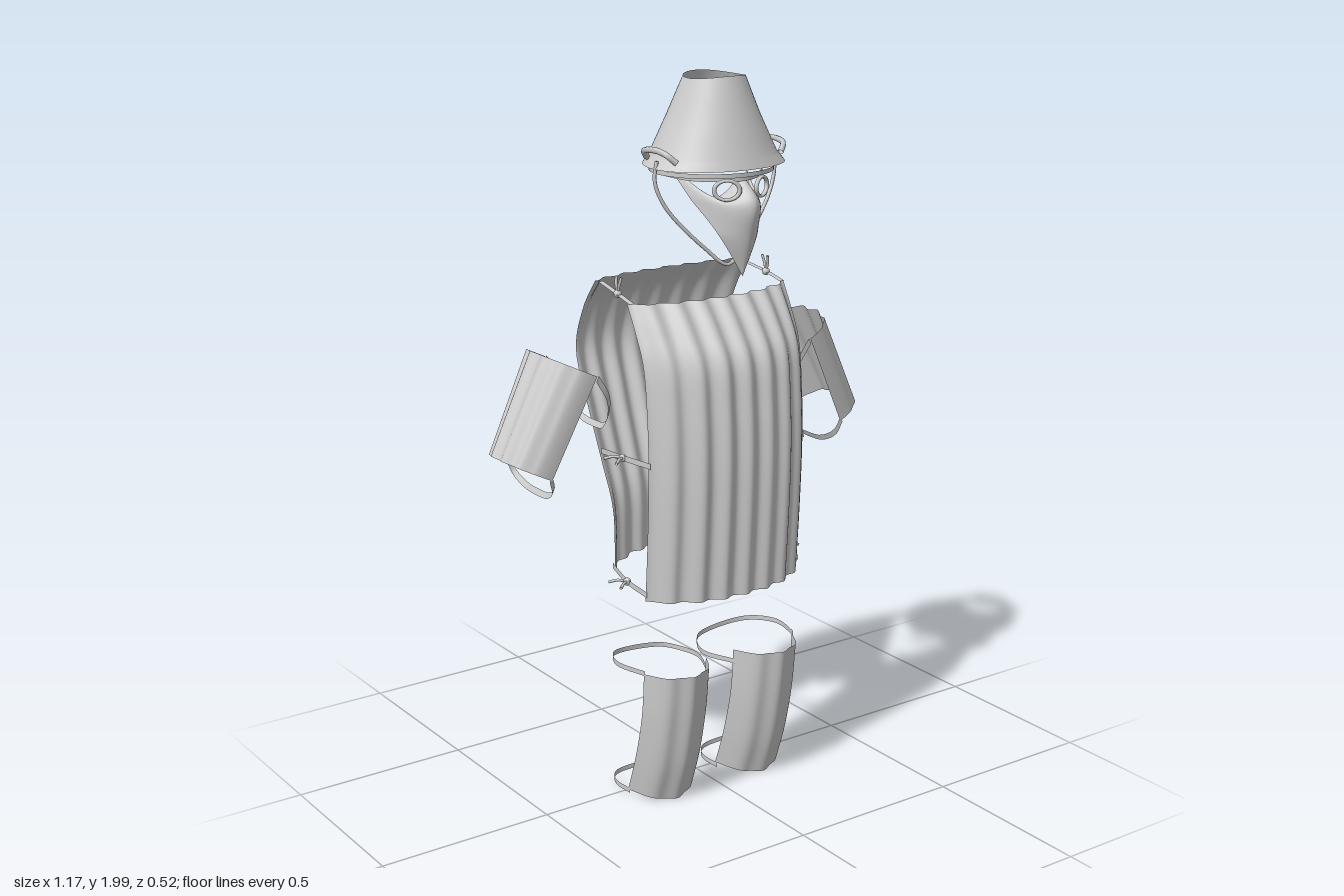
import * as THREE from 'three';
import { mergeVertices } from 'three/addons/utils/BufferGeometryUtils.js';

const V = (x, y, z) => new THREE.Vector3(x, y, z);
const curve = pts => new THREE.CatmullRomCurve3(pts.map(p => V(...p)));
const grey = new THREE.MeshStandardMaterial({ color: 0xcccccc, side: THREE.DoubleSide });

// Smooth sheet: fn(u, v) gives a point, u and v run 0..1
function sheet(name, fn, nu, nv) {
  const pos = [], idx = [];
  for (let j = 0; j <= nv; j++)
    for (let i = 0; i <= nu; i++) pos.push(...fn(i / nu, j / nv).toArray());
  for (let j = 0; j < nv; j++)
    for (let i = 0; i < nu; i++) {
      const a = j * (nu + 1) + i, b = a + nu + 1;
      idx.push(a, a + 1, b, a + 1, b + 1, b);
    }
  let g = new THREE.BufferGeometry();
  g.setAttribute('position', new THREE.Float32BufferAttribute(pos, 3));
  g.setIndex(idx);
  g = mergeVertices(g);
  g.computeVertexNormals();
  const m = new THREE.Mesh(g, grey);
  m.name = name;
  return m;
}

// Flat strap along a curve, width w across dir
function strap(name, pts, w, dir, n = 24) {
  const c = curve(pts);
  return sheet(name, (u, v) => c.getPoint(u).addScaledVector(dir, (v - 0.5) * w), n, 1);
}

function cord(name, pts, r = 0.005, n = 20) {
  const m = new THREE.Mesh(new THREE.TubeGeometry(curve(pts), n, r, 6), grey);
  m.name = name;
  return m;
}

// Corrugated torso plate: profile rows are [y, z at centre, depth lost at the sides]
function torsoPlate(name, profile, w, side) {
  const c = curve(profile);
  return sheet(name, (u, v) => {
    const p = c.getPoint(v), k = u * 2 - 1, x = k * w;
    const wave = 0.008 * Math.cos(x / 0.07 * Math.PI * 2);
    return V(x, p.x, p.y - side * (p.z * Math.abs(k) ** 2.6 - wave));
  }, 96, 28);
}

function addHead(g) {
  // Bucket helmet, egg-shaped: rows are [y, half width, front z, back z]
  const rows = [[2.0, 0.08, 0.165, 0], [1.9, 0.122, 0.195, -0.045],
    [1.8, 0.17, 0.227, -0.09], [1.77, 0.192, 0.238, -0.11]];
  g.add(sheet('helmet', (u, v) => {
    const t = v * 3, i = Math.min(2, Math.floor(t)), f = t - i;
    const [y, r, zf, zb] = rows[i].map((n, k) => n + (rows[i + 1][k] - n) * f);
    const a = u * Math.PI * 2, s = Math.sin(a);
    return V(r * Math.cos(a) * (1 + 0.14 * v * s), y - 0.008 * (1 - v) * Math.cos(a) ** 2,
      (zf + zb) / 2 + (zf - zb) / 2 * s);
  }, 48, 9));
  const ring = [];
  for (let i = 0; i <= 20; i++) {
    const a = i / 20 * Math.PI * 2;
    ring.push([0.165 * Math.cos(a), 1.757, 0.07 + 0.16 * Math.sin(a)]);
  }
  g.add(strap('headBand', ring, 0.012, V(0, 1, 0), 48));
  for (const s of [-1, 1])
    g.add(cord('helmetHandle', [[s * 0.168, 1.79, 0.02], [s * 0.19, 1.812, 0.04],
      [s * 0.19, 1.818, 0.1], [s * 0.185, 1.81, 0.135], [s * 0.165, 1.79, 0.15]], 0.008));
  g.add(cord('chinStrap', [[-0.185, 1.79, 0.09], [-0.192, 1.74, 0.09], [-0.165, 1.67, 0.1],
    [-0.06, 1.555, 0.13], [0, 1.51, 0.145], [0.06, 1.555, 0.13], [0.165, 1.67, 0.1],
    [0.192, 1.74, 0.09], [0.185, 1.79, 0.09]], 0.005, 48));

  // Pointed face mask: [y, centre z, edge z] and half widths, scooped at the eyes
  const mid = curve([[1.75, 0.205, 0.06], [1.69, 0.262, 0.115], [1.6, 0.245, 0.19], [1.49, 0.21, 0.21]]);
  const wide = curve([[0.115, 0, 0], [0.1, 0, 0], [0.062, 0, 0], [0, 0, 0]]);
  g.add(sheet('faceMask', (u, v) => {
    const k = u * 2 - 1, p = mid.getPoint(v);
    const scoop = 0.055 * Math.sin(Math.PI * Math.abs(k)) ** 2 * (1 - v) ** 4;
    return V(k * wide.getPoint(v).x, p.x - scoop, p.y + (p.z - p.y) * Math.abs(k) ** 1.7);
  }, 32, 24));
  for (const s of [-1, 1]) {
    const eye = new THREE.Mesh(new THREE.TorusGeometry(0.033, 0.006, 8, 28), grey);
    eye.name = 'goggleRim';
    eye.scale.y = 0.75;
    eye.position.set(s * 0.055, 1.72, 0.215);
    eye.rotation.y = s * 0.5;
    g.add(eye);
  }
  g.add(strap('goggleStrap', [[-0.165, 1.757, 0.07], [-0.112, 1.745, 0.14], [0, 1.745, 0.215],
    [0.112, 1.745, 0.14], [0.165, 1.757, 0.07]], 0.012, V(0, 1, 0)));
}

function addTorso(g) {
  g.add(torsoPlate('chestPlate', [[0.62, 0.233, 0.1], [0.82, 0.246, 0.1], [1.0, 0.252, 0.1],
    [1.15, 0.246, 0.1], [1.27, 0.23, 0.1], [1.35, 0.18, 0.085], [1.42, 0.122, 0.065]], 0.255, 1));
  g.add(torsoPlate('backPlate', [[0.665, -0.13, -0.105], [0.84, -0.132, -0.1], [0.95, -0.165, -0.085],
    [1.1, -0.215, -0.065], [1.25, -0.252, -0.045], [1.37, -0.212, -0.045], [1.455, -0.14, -0.035]]
    .map(([y, z, d]) => [y, z, -d]), 0.255, -1));
  // Cords that tie the plates together, each with a knot and loose tails
  for (const s of [-1, 1]) {
    const ties = [
      ['shoulderTie', [0.245, 1.42, 0.06], [0.243, 1.435, -0.01], [0.235, 1.45, -0.105]],
      ['waistTie', [0.255, 1.005, 0.155], [0.262, 1.0, 0.035], [0.255, 0.99, -0.08]],
      ['hipTie', [0.255, 0.64, 0.135], [0.262, 0.655, 0.05], [0.255, 0.675, -0.03]]];
    for (const [name, ...pts] of ties) {
      g.add(strap(name, pts.map(([x, y, z]) => [s * x, y, z]), 0.016,
        name === 'shoulderTie' ? V(1, 0, 0) : V(0, 1, 0)));
      const [x, y, z] = pts[1];
      const knot = new THREE.Mesh(new THREE.SphereGeometry(0.011, 10, 8), grey);
      knot.name = name + 'Knot';
      knot.position.set(s * x, y, z);
      g.add(knot);
      for (const d of [-0.03, 0.03])
        g.add(cord(name + 'Tail', name === 'shoulderTie'
          ? [[s * x, y, z], [s * x, y + 0.025, z + d * 0.25], [s * (x - 0.004), y + 0.045, z + d * 0.4]]
          : [[s * x, y, z], [s * (x + 0.02), y + 0.004, z + d * 0.5], [s * (x + 0.04), y - 0.002, z + d]], 0.004, 6));
    }
  }
}

function addArm(g, s) {
  // Half tube running down and outwards, open towards the body
  const top = V(0.45, 1.29, -0.075), down = V(0.13, -0.265, 0), inward = V(-0.9, -0.44, 0);
  g.add(sheet('armPlate', (u, v) => {
    const k = u * 2 - 1;
    const a = k * Math.PI / 2, sn = Math.sin(a);
    const half = 0.13 - 0.02 * v;
    const depth = 0.11 * (1 - Math.cos(a) ** 0.75) + 0.006 * Math.cos(k * Math.PI * 6) * Math.cos(a);
    const p = top.clone().addScaledVector(down, v).addScaledVector(inward, depth);
    p.z += half * sn;
    p.x *= s;
    return p;
  }, 64, 8));
  const loop = (name, pts) => g.add(strap(name, pts.map(([x, y, z]) => [s * x, y, z - 0.075]),
    0.018, V(s * 0.44, -0.9, 0)));
  loop('upperArmStrap', [[0.35, 1.235, 0.13], [0.31, 1.17, 0.12], [0.287, 1.085, 0.06],
    [0.283, 1.075, 0], [0.287, 1.085, -0.06], [0.31, 1.17, -0.12], [0.35, 1.235, -0.13]]);
  loop('lowerArmStrap', [[0.485, 0.982, 0.11], [0.472, 0.945, 0.1], [0.462, 0.918, 0.055],
    [0.46, 0.913, 0], [0.462, 0.918, -0.055], [0.472, 0.945, -0.1], [0.485, 0.982, -0.11]]);
}

function addLeg(g, s) {
  // Curved shin plate: [y, front z, depth]
  const c = curve([[0.405, 0.205, 0.085], [0.27, 0.188, 0.08], [0.13, 0.16, 0.085], [0.01, 0.12, 0.085]]);
  g.add(sheet('shinPlate', (u, v) => {
    const k = u * 2 - 1, p = c.getPoint(v);
    return V(s * (0.15 + 0.103 * k), p.x + 0.018 * v * k * k,
      p.y - p.z * Math.abs(k) ** 2.4 + 0.005 * Math.cos(k * Math.PI * 3));
  }, 48, 14));
  // Calf straps; the upper one is tilted towards the inner side
  const loop = (name, x0, x1, y0, y1, zf, zb) => {
    const pts = [];
    for (let i = 0; i <= 8; i++) {
      const a = Math.PI * i / 8, k = Math.cos(a);
      const w = i === 0 || i === 8 ? 0.103 : (x1 - x0) / 2 * Math.sign(k) * Math.abs(k) ** 0.6;
      const x = i === 0 ? 0.253 : i === 8 ? 0.047 : (x0 + x1) / 2 + w;
      pts.push([s * x, y0 + (y1 - y0) * (k + 1) / 2, zf + (zb - zf) * Math.sin(a) ** 0.8]);
    }
    g.add(strap(name, pts, 0.014, V(0, 1, 0), 32));
  };
  loop('upperLegStrap', 0.005, 0.28, 0.372, 0.408, 0.12, -0.088);
  loop('lowerLegStrap', 0.04, 0.26, 0.022, 0.028, 0.04, -0.092);
}

export function createModel() {
  const model = new THREE.Group();
  const part = (name, build, ...args) => {
    const g = new THREE.Group();
    g.name = name;
    build(g, ...args);
    model.add(g);
  };
  part('headGear', addHead);
  part('torsoArmor', addTorso);
  for (const [side, s] of [['left', 1], ['right', -1]]) {
    part(side + 'ArmGuard', addArm, s);
    part(side + 'LegGuard', addLeg, s);
  }
  return model;
}
